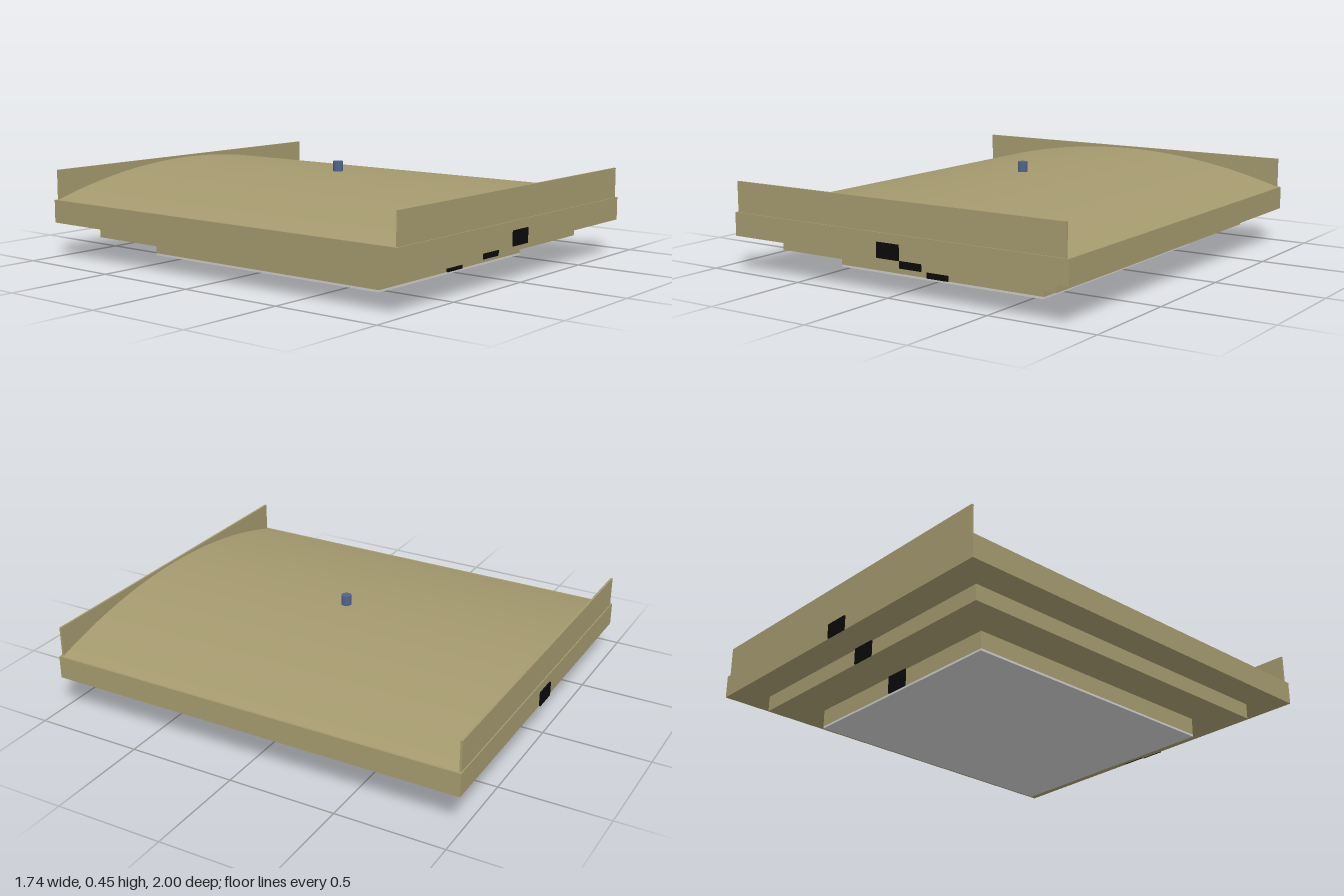
import * as THREE from 'three';

const material = (color) => new THREE.MeshStandardMaterial({ color });

export function createModel() {
  const model = new THREE.Group();
  const tan = material(0xa4996e);
  const black = material(0x0a0a0a);
  const grey = material(0xcccccc);
  const blue = material(0x4f648c);

  const add = (name, geometry, mat, x = 0, y = 0, z = 0) => {
    const mesh = new THREE.Mesh(geometry, mat);
    mesh.name = name;
    mesh.position.set(x, y, z);
    model.add(mesh);
    return mesh;
  };

  // Box spanning y0..y1, centred on x = 0
  const slab = (name, halfX, y0, y1, halfZ, mat, z = 0) =>
    add(name, new THREE.BoxGeometry(2 * halfX, y1 - y0, 2 * halfZ), mat, 0, (y0 + y1) / 2, z);

  // Ground slab and three widening storeys, each with a door panel front and back
  slab('groundSlab', 0.545, 0, 0.01, 0.66, grey);
  const storeys = [
    { halfX: 0.545, y0: 0.01, y1: 0.09, halfZ: 0.66, doorTop: 0.09 },
    { halfX: 0.725, y0: 0.09, y1: 0.163, halfZ: 0.847, doorTop: 0.163 },
    { halfX: 0.87, y0: 0.163, y1: 0.27, halfZ: 0.993, doorTop: 0.23 },
  ];
  storeys.forEach(({ halfX, y0, y1, halfZ, doorTop }, i) => {
    slab(`storey${i + 1}`, halfX, y0, y1, halfZ, tan);
    for (const side of [1, -1]) {
      slab(side > 0 ? `frontDoor${i + 1}` : `backDoor${i + 1}`,
        0.057, y0, doorTop, 0.0035, black, side * (halfZ + 0.0035));
    }
  });

  // Shallow vaulted roof: a circular segment extruded along z
  const halfSpan = 0.86, rise = 0.13, halfLength = 0.978;
  const radius = (halfSpan ** 2 + rise ** 2) / (2 * rise);
  const angle = Math.asin(halfSpan / radius);
  const profile = new THREE.Shape();
  profile.absarc(0, rise - radius, radius, Math.PI / 2 - angle, Math.PI / 2 + angle, false);
  profile.closePath();
  const roof = new THREE.ExtrudeGeometry(profile, {
    depth: 2 * halfLength, bevelEnabled: false, curveSegments: 48,
  });
  add('vaultedRoof', roof, tan, 0, 0.27, -halfLength);

  // Thin rectangular parapets closing both ends of the vault
  for (const side of [1, -1]) {
    slab(side > 0 ? 'frontParapet' : 'backParapet', 0.855, 0.27, 0.41, 0.005, tan, side * 0.983);
  }

  // Small vent post at the crown of the roof
  add('roofVent', new THREE.CylinderGeometry(0.023, 0.023, 0.055, 16), blue, 0, 0.4195, 0);

  return model;
}
